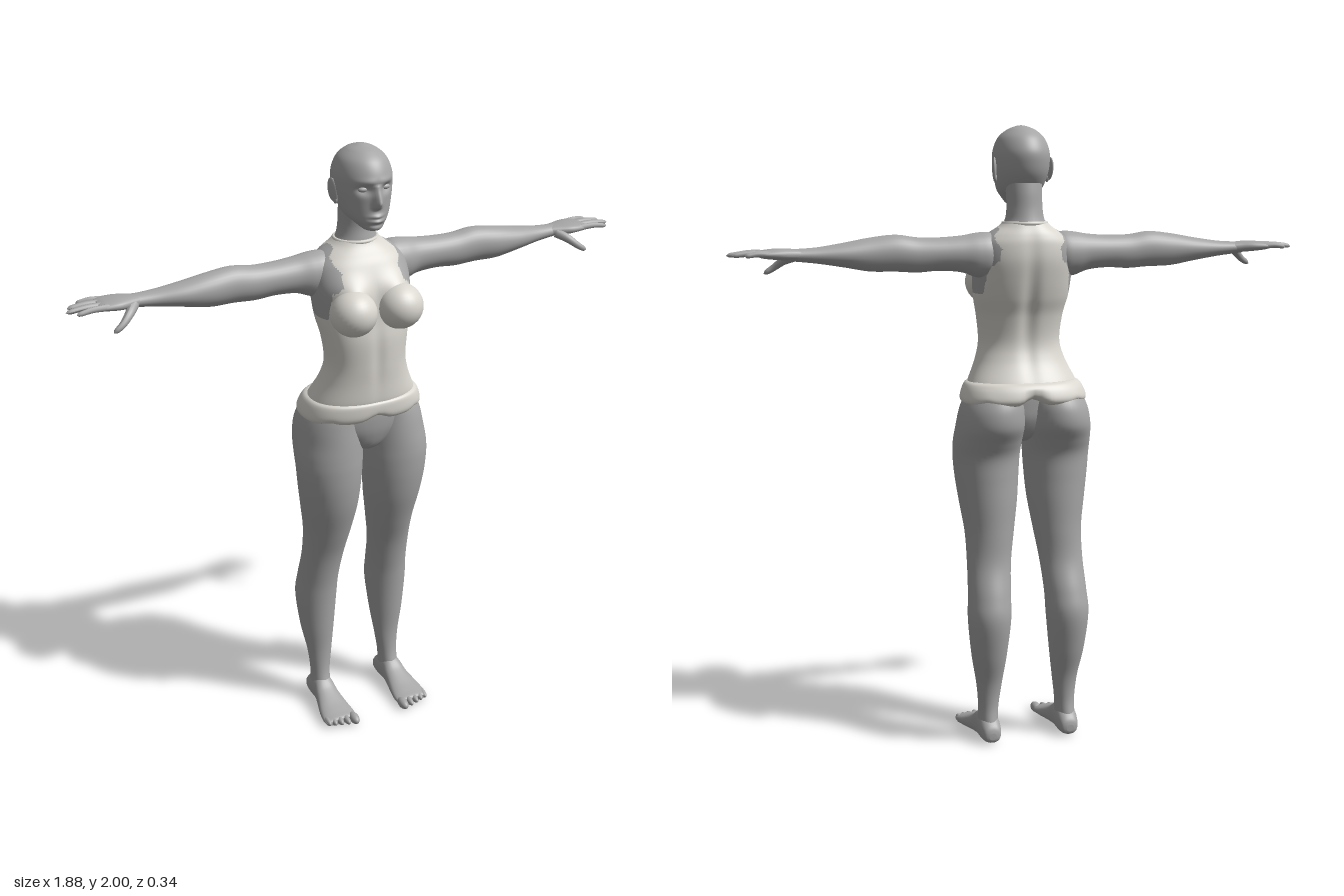
import * as THREE from 'three';

const skin = new THREE.MeshStandardMaterial({ color: 0xa6a6a6 });
skin.name = 'grey skin';
const cloth = new THREE.MeshStandardMaterial({ color: 0xdad7d0 });
cloth.name = 'pale cloth';

const gauss = (v, c, w) => Math.exp(-(((v - c) / w) ** 2));

// Piecewise linear lookup in [key, value] pairs with falling keys
function lookup(pairs, k) {
  for (let i = 1; i < pairs.length; i++) {
    const [k0, v0] = pairs[i - 1], [k1, v1] = pairs[i];
    if (k >= k1) return v0 + (v1 - v0) * Math.min(1, Math.max(0, (k0 - k) / (k0 - k1)));
  }
  return pairs[pairs.length - 1][1];
}

// Turns all triangles outward, using the signed volume
function finish(geo) {
  const p = geo.attributes.position, idx = geo.index.array;
  const a = new THREE.Vector3(), b = new THREE.Vector3(), c = new THREE.Vector3();
  let volume = 0;
  for (let i = 0; i < idx.length; i += 3) {
    a.fromBufferAttribute(p, idx[i]);
    b.fromBufferAttribute(p, idx[i + 1]);
    c.fromBufferAttribute(p, idx[i + 2]);
    volume += a.dot(b.cross(c));
  }
  if (volume < 0) for (let i = 0; i < idx.length; i += 3) [idx[i], idx[i + 1]] = [idx[i + 1], idx[i]];
  geo.computeVertexNormals();
  return geo;
}

// Smooth skin through sections [t, aMin, aMax, bMin, bMax] along an axis
function loft(axis, sections, { sides = 32, steps = 6, power = 2, bend } = {}) {
  const n = sections.length, rings = (n - 1) * steps + 1, pos = [], idx = [];
  const place = { x: (t, a, b) => [t, a, b], y: (t, a, b) => [a, t, b], z: (t, a, b) => [a, b, t] }[axis];
  const put = (t, a, b) => {
    const v = new THREE.Vector3(...place(t, a, b));
    if (bend) bend(v);
    pos.push(v.x, v.y, v.z);
  };
  const round = (v) => Math.sign(v) * Math.abs(v) ** (2 / power);
  const at = (i, k) => sections[Math.min(n - 1, Math.max(0, i))][k];
  const sample = (r) => {
    const i = Math.min(n - 2, Math.floor(r / steps)), f = r / steps - i;
    return [0, 1, 2, 3, 4].map((k) => {
      const p0 = at(i - 1, k), p1 = at(i, k), p2 = at(i + 1, k), p3 = at(i + 2, k);
      return p1 + 0.5 * f * (p2 - p0 + f * (2 * p0 - 5 * p1 + 4 * p2 - p3 + f * (3 * (p1 - p2) + p3 - p0)));
    });
  };
  for (let r = 0; r < rings; r++) {
    const [t, a0, a1, b0, b1] = sample(r);
    for (let j = 0; j < sides; j++) {
      const q = (j / sides) * Math.PI * 2;
      put(t, (a0 + a1) / 2 + ((a1 - a0) / 2) * round(Math.cos(q)), (b0 + b1) / 2 + ((b1 - b0) / 2) * round(Math.sin(q)));
    }
  }
  for (const s of [sections[0], sections[n - 1]]) put(s[0], (s[1] + s[2]) / 2, (s[3] + s[4]) / 2);
  const end = rings * sides;
  for (let j = 0; j < sides; j++) {
    const k = (j + 1) % sides, l = end - sides;
    for (let r = 0; r < rings - 1; r++) {
      const o = r * sides;
      idx.push(o + j, o + sides + j, o + k, o + k, o + sides + j, o + sides + k);
    }
    idx.push(end, j, k, end + 1, l + k, l + j);
  }
  const geo = new THREE.BufferGeometry();
  geo.setAttribute('position', new THREE.Float32BufferAttribute(pos, 3));
  geo.setIndex(idx);
  return finish(geo);
}

// Stretched ball, optionally turned
function ball(x, y, z, rx, ry, rz, turn = [0, 0, 0]) {
  const g = new THREE.SphereGeometry(1, 32, 20).scale(rx, ry, rz);
  return g.rotateX(turn[0]).rotateY(turn[1]).rotateZ(turn[2]).translate(x, y, z);
}

// Rounded, tapered finger through points
function finger(points, r0, r1) {
  const curve = new THREE.CatmullRomCurve3(points.map((p) => new THREE.Vector3(...p)));
  const geo = new THREE.TubeGeometry(curve, 16, 1, 10);
  const p = geo.attributes.position, v = new THREE.Vector3();
  for (let i = 0; i < p.count; i++) {
    const u = Math.floor(i / 11) / 16, c = curve.getPointAt(u);
    const r = (r0 + (r1 - r0) * u) * Math.sqrt(Math.max(0, 1 - Math.max(0, (u - 0.85) / 0.15) ** 2));
    v.fromBufferAttribute(p, i).sub(c).multiplyScalar(r).add(c);
    p.setXYZ(i, v.x, v.y, v.z);
  }
  return finish(geo);
}

export function createModel() {
  const model = new THREE.Group();
  model.name = 'figure';
  const add = (name, geo, mat = skin) => {
    const m = new THREE.Mesh(geo, mat);
    m.name = name;
    model.add(m);
  };
  const pair = (name, geo, mat = skin) => {
    add('left' + name, geo, mat);
    add('right' + name, finish(geo.clone().scale(-1, 1, 1)), mat);
  };

  // Head, with the face shaped by soft bumps
  const nose = [[1.9, 0.1], [1.845, 1], [1.832, 0.75], [1.82, 0]];
  add('head', loft('y', [
    [1.752, -0.012, 0.012, 0.055, 0.08], [1.757, -0.028, 0.028, 0.03, 0.094], [1.775, -0.048, 0.048, -0.02, 0.1],
    [1.80, -0.07, 0.07, -0.07, 0.099], [1.84, -0.083, 0.083, -0.104, 0.1], [1.88, -0.089, 0.089, -0.118, 0.102],
    [1.92, -0.088, 0.088, -0.119, 0.102], [1.96, -0.073, 0.073, -0.098, 0.082], [1.985, -0.046, 0.046, -0.065, 0.048],
    [1.997, -0.018, 0.018, -0.03, 0.012], [2.0, -0.003, 0.003, -0.012, -0.006],
  ], { sides: 96, steps: 10, bend: (v) => {
    if (v.z < 0.02) return;
    const x = Math.abs(v.x);
    v.z += (v.y > 1.82 && v.y < 1.9 ? 0.028 * lookup(nose, v.y) * gauss(x, 0, 0.013) : 0)
      - 0.014 * gauss(x, 0.036, 0.02) * gauss(v.y, 1.884, 0.014)
      + 0.004 * gauss(x, 0.03, 0.03) * gauss(v.y, 1.908, 0.01)
      + 0.009 * gauss(x, 0, 0.02) * (gauss(v.y, 1.801, 0.006) + gauss(v.y, 1.786, 0.006))
      - 0.004 * gauss(x, 0, 0.03) * gauss(v.y, 1.773, 0.006);
  } }));
  pair('Eye', ball(0.036, 1.884, 0.076, 0.017, 0.009, 0.011));
  pair('Ear', ball(0.091, 1.865, -0.02, 0.007, 0.037, 0.021, [-0.2, -0.3, 0]));
  pair('EarLobe', ball(0.086, 1.837, -0.012, 0.006, 0.014, 0.01));

  add('neck', loft('y', [
    [1.66, -0.1, 0.1, -0.125, 0.02], [1.70, -0.067, 0.067, -0.11, 0.012], [1.74, -0.058, 0.058, -0.101, 0.006],
    [1.79, -0.058, 0.058, -0.096, 0.012], [1.83, -0.06, 0.06, -0.09, 0.02],
  ]));

  // Torso: sleeveless top with bare shoulders cut out
  const torso = loft('y', [
    [1.18, -0.183, 0.183, -0.145, 0.105], [1.2, -0.174, 0.174, -0.135, 0.11], [1.26, -0.147, 0.147, -0.1, 0.112],
    [1.32, -0.133, 0.133, -0.085, 0.115], [1.4, -0.141, 0.141, -0.095, 0.116], [1.46, -0.154, 0.154, -0.115, 0.108],
    [1.52, -0.16, 0.16, -0.13, 0.098], [1.58, -0.162, 0.162, -0.14, 0.083], [1.63, -0.152, 0.152, -0.138, 0.06],
    [1.66, -0.124, 0.124, -0.131, 0.04], [1.685, -0.086, 0.086, -0.12, 0.022], [1.702, -0.068, 0.068, -0.112, 0.013],
  ], { sides: 128, steps: 8, power: 2.25, bend: (v) => {
    const x = Math.abs(v.x);
    if (v.z > 0) v.z += 0.035 * gauss(x, 0.08, 0.05) * gauss(v.y, 1.55, 0.045) - 0.006 * gauss(x, 0, 0.02) * gauss(v.y, 1.35, 0.12);
    else v.z += 0.012 * gauss(x, 0, 0.025) * gauss(v.y, 1.42, 0.2);
  } });
  const armhole = [[1.7, 0.08], [1.68, 0.09], [1.66, 0.112], [1.64, 0.112], [1.62, 0.096], [1.58, 0.104], [1.56, 0.132], [1.48, 0.142]];
  const parts = [[], []], p = torso.attributes.position, ix = torso.index.array;
  for (let i = 0; i < ix.length; i += 3) {
    const t = [ix[i], ix[i + 1], ix[i + 2]];
    const y = t.reduce((s, k) => s + p.getY(k), 0) / 3, x = Math.abs(t.reduce((s, k) => s + p.getX(k), 0) / 3);
    parts[y > 1.475 && x > lookup(armhole, y) ? 1 : 0].push(...t);
  }
  torso.setIndex([...parts[0], ...parts[1]]);
  torso.addGroup(0, parts[0].length, 0);
  torso.addGroup(parts[0].length, parts[1].length, 1);
  add('torso', torso, [cloth, skin]);
  pair('Breast', ball(0.08, 1.503, 0.098, 0.074, 0.072, 0.075), cloth);
  const collar = new THREE.TorusGeometry(1, 0.08, 10, 48).rotateX(Math.PI / 2).scale(0.069, 0.08, 0.064);
  add('collar', collar.translate(0, 1.696, -0.05), cloth);

  // Rolled waistband with a scalloped lower edge
  add('waistband', loft('y', [
    [1.122, -0.188, 0.188, -0.15, 0.09], [1.13, -0.202, 0.202, -0.168, 0.106], [1.145, -0.205, 0.205, -0.174, 0.114],
    [1.17, -0.197, 0.197, -0.166, 0.116], [1.188, -0.186, 0.186, -0.153, 0.114], [1.195, -0.172, 0.172, -0.14, 0.104],
  ], { sides: 96, power: 2.4, bend: (v) => {
    const low = Math.max(0, (1.18 - v.y) / 0.06);
    v.y += low * (0.022 * gauss(v.x, 0, 0.035) + 0.008 * gauss(Math.abs(v.x), 0.15, 0.02));
    if (v.z < 0) v.z += 0.03 * low * gauss(v.x, 0, 0.03);
  } }), cloth);

  // Hips and legs
  add('pelvis', loft('y', [
    [0.995, -0.02, 0.02, -0.05, 0.03], [1.02, -0.07, 0.07, -0.09, 0.07], [1.07, -0.14, 0.14, -0.115, 0.09],
    [1.12, -0.175, 0.175, -0.12, 0.096], [1.17, -0.175, 0.175, -0.12, 0.095],
  ]));
  pair('Leg', loft('y', [
    [1.175, 0.01, 0.17, -0.125, 0.075], [1.14, 0.002, 0.195, -0.155, 0.088], [1.1, 0, 0.212, -0.17, 0.094],
    [1.05, 0, 0.222, -0.168, 0.099], [1.0, 0.005, 0.228, -0.14, 0.102], [0.95, 0.009, 0.228, -0.117, 0.102],
    [0.88, 0.014, 0.222, -0.114, 0.096], [0.8, 0.021, 0.211, -0.115, 0.08], [0.7, 0.036, 0.197, -0.115, 0.047],
    [0.6, 0.051, 0.196, -0.121, 0.012], [0.5, 0.06, 0.2, -0.153, -0.01], [0.42, 0.063, 0.204, -0.168, -0.02],
    [0.3, 0.075, 0.192, -0.146, -0.03], [0.2, 0.088, 0.174, -0.116, -0.038], [0.12, 0.099, 0.166, -0.108, -0.034],
    [0.06, 0.102, 0.167, -0.118, -0.015], [0.03, 0.105, 0.164, -0.12, -0.01],
  ], { sides: 40 }));
  pair('Foot', loft('z', [
    [-0.134, 0.122, 0.146, 0.018, 0.04], [-0.125, 0.105, 0.162, 0.006, 0.062], [-0.09, 0.098, 0.17, 0, 0.09],
    [-0.04, 0.098, 0.172, 0.001, 0.098], [0, 0.094, 0.179, 0.002, 0.072], [0.05, 0.086, 0.192, 0, 0.05],
    [0.09, 0.081, 0.198, 0, 0.037], [0.115, 0.084, 0.196, 0.002, 0.03], [0.122, 0.09, 0.19, 0.006, 0.024],
  ], { power: 2.3 }));
  [0.096, 0.123, 0.146, 0.167, 0.186].forEach((x, i) => {
    const r = i ? 0.0115 - i * 0.0003 : 0.016;
    pair('Toe' + (i + 1), ball(x, 0.017, 0.126 - i * 0.007, r, i ? 0.013 : 0.017, 0.03));
  });

  // Arms and hands
  pair('Arm', loft('x', [
    [0.085, 1.56, 1.655, -0.09, 0], [0.12, 1.528, 1.669, -0.11, 0.015], [0.16, 1.528, 1.668, -0.112, 0.012],
    [0.21, 1.545, 1.66, -0.106, 0.002], [0.28, 1.551, 1.655, -0.1, 0], [0.35, 1.547, 1.656, -0.096, 0],
    [0.42, 1.551, 1.665, -0.095, 0.002], [0.5, 1.553, 1.657, -0.092, 0.006], [0.58, 1.567, 1.643, -0.09, 0],
    [0.66, 1.58, 1.631, -0.084, -0.016], [0.72, 1.587, 1.627, -0.081, -0.023], [0.75, 1.59, 1.627, -0.083, -0.02],
  ]));
  pair('Palm', loft('x', [
    [0.71, 1.592, 1.624, -0.078, -0.026], [0.74, 1.592, 1.627, -0.085, -0.015], [0.78, 1.594, 1.629, -0.098, -0.002],
    [0.82, 1.598, 1.626, -0.102, -0.003], [0.84, 1.602, 1.621, -0.098, -0.008],
  ], { power: 2.4 }));
  [[-0.016, -0.004, 0.915], [-0.04, -0.036, 0.938], [-0.064, -0.068, 0.925], [-0.089, -0.1, 0.89]].forEach(([z0, z1, tip], i) => {
    pair('Finger' + (i + 1), finger([[0.81, 1.612, z0], [(0.81 + tip) / 2, 1.615, (z0 + z1) / 2], [tip, 1.609, z1]], 0.011, 0.007));
  });
  pair('Thumb', finger([[0.735, 1.603, -0.03], [0.76, 1.588, 0.002], [0.788, 1.566, 0.02], [0.818, 1.547, 0.026]], 0.017, 0.008));

  return model;
}
